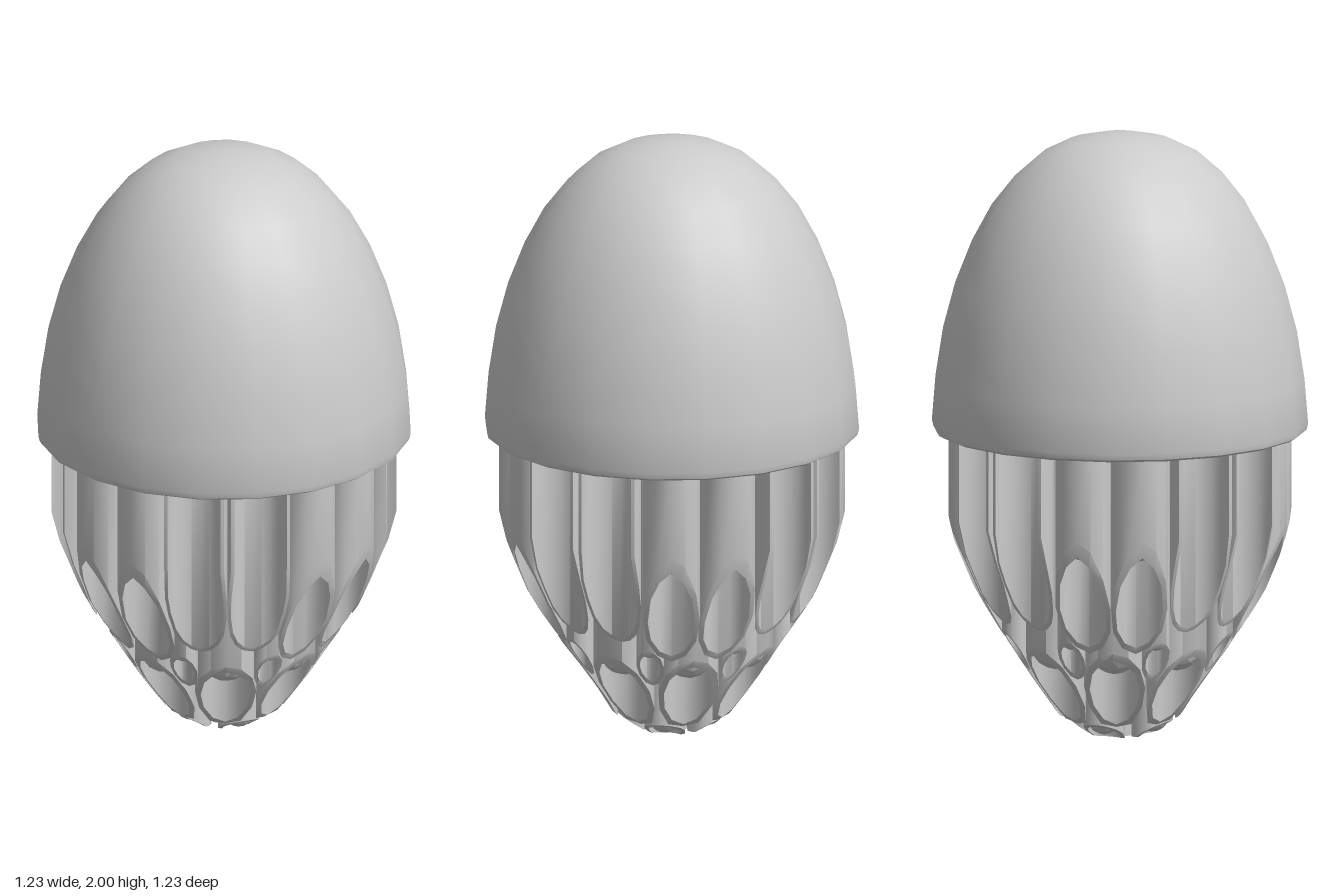
import * as THREE from 'three';
import { toCreasedNormals } from 'three/addons/utils/BufferGeometryUtils.js';

const TOP = 1.03;      // tubes run up into the dome floor
const LIMIT = 0.565;   // largest radius of the tube bundle

// Egg outline that trims the tubes: [radius, height]
const EGG = [[0, 0], [0.1, 0.005], [0.2, 0.07], [0.28, 0.18], [0.37, 0.32],
  [0.47, 0.47], [0.54, 0.64], [LIMIT, 0.74]];

function eggHeight(r) {
  for (let i = 1; i < EGG.length; i++) {
    const [r0, y0] = EGG[i - 1], [r1, y1] = EGG[i];
    if (r <= r1) return y0 + (y1 - y0) * (r - r0) / (r1 - r0);
  }
  return EGG[EGG.length - 1][1];
}

// Vertical tube whose lower end is trimmed by the egg; a tube that pokes out of
// the bundle becomes an open flute.
function tubeGeometry(dist, azimuth, outer, inner, segments) {
  const cx = dist * Math.sin(azimuth), cz = dist * Math.cos(azimuth);
  const reach = (rad) => {
    if (dist + rad <= LIMIT + 0.003) return Math.PI;
    return Math.acos((dist * dist + rad * rad - LIMIT * LIMIT) / (2 * dist * rad));
  };
  const spanIn = reach(inner), spanOut = reach(outer);
  const positions = [], index = [];
  const point = (rad, span, t) => {
    const a = azimuth + Math.PI + span * t;
    const x = cx + rad * Math.sin(a), z = cz + rad * Math.cos(a);
    return [x, eggHeight(Math.hypot(x, z)), z];
  };
  const quad = (a, b, c, d) => index.push(a, b, c, a, c, d);
  for (let i = 0; i <= segments; i++) {
    const t = -1 + 2 * i / segments;
    const p = point(inner, spanIn, t), q = point(outer, spanOut, t);
    positions.push(p[0], TOP, p[2], ...p, ...q, q[0], TOP, q[2]);
    if (i === segments) break;
    for (let k = 0; k < 3; k++) {
      const a = i * 4 + k;
      quad(a, a + 4, a + 5, a + 1);
    }
  }
  // Long edges of an open flute
  if (spanOut < Math.PI) {
    const e = segments * 4;
    quad(0, 1, 2, 3);
    quad(e + 3, e + 2, e + 1, e);
  }
  const geo = new THREE.BufferGeometry();
  geo.setAttribute('position', new THREE.Float32BufferAttribute(positions, 3));
  geo.setIndex(index);
  return toCreasedNormals(geo, 0.65);
}

export function createModel() {
  const group = new THREE.Group();
  const smooth = new THREE.MeshStandardMaterial({ color: 0xcccccc, side: THREE.DoubleSide });
  const faceted = new THREE.MeshStandardMaterial({ color: 0xcccccc, flatShading: true });

  const add = (parent, name, geometry, material) => {
    const mesh = new THREE.Mesh(geometry, material);
    mesh.name = name;
    parent.add(mesh);
    return mesh;
  };

  // Dome with a small rounded lip and a flat floor
  const profile = [[0, 1.02], [0.575, 1.02], [0.598, 1.012], [0.612, 1.02], [0.617, 1.04],
    [0.605, 1.19], [0.58, 1.35], [0.54, 1.5], [0.485, 1.64], [0.42, 1.76], [0.345, 1.855],
    [0.26, 1.93], [0.17, 1.975], [0.08, 1.995], [0, 2]]
    .map(([r, y]) => new THREE.Vector2(r, y));
  add(group, 'dome', toCreasedNormals(new THREE.LatheGeometry(profile, 20), 0.6), smooth);

  // Rings of tubes: distance from the axis, azimuths in degrees, radii, ball in the bore
  const every = (count, start) =>
    Array.from({ length: count }, (_, i) => start + i * 360 / count);
  const rings = [
    { name: 'outerTube', dist: 0.473, at: [...every(4, -11.25), ...every(4, 11.25)], outer: 0.093, inner: 0.078, ball: true },
    { name: 'flute', dist: 0.53, at: [...every(4, 33.75), ...every(4, 56.25)], outer: 0.103, inner: 0.092, ball: false },
    { name: 'middleTube', dist: 0.28, at: every(8, 0), outer: 0.1, inner: 0.082, ball: true },
    { name: 'fillerTube', dist: 0.36, at: every(8, 22.5), outer: 0.046, inner: 0.034, ball: true },
    { name: 'innerTube', dist: 0.118, at: every(4, -22.5), outer: 0.068, inner: 0.054, ball: true },
    { name: 'centreTube', dist: 0, at: [0], outer: 0.05, inner: 0.038, ball: true },
  ];

  for (const ring of rings) {
    const ringGroup = new THREE.Group();
    ringGroup.name = ring.name + 'Ring';
    group.add(ringGroup);
    for (const degrees of ring.at) {
      const a = THREE.MathUtils.degToRad(degrees);
      add(ringGroup, ring.name, tubeGeometry(ring.dist, a, ring.outer, ring.inner, 12), smooth);
      if (!ring.ball) continue;
      // Faceted ball closing the bore just above the trimmed opening
      const ball = add(ringGroup, 'ball', new THREE.IcosahedronGeometry(ring.inner * 1.02, 2), faceted);
      const y = Math.max(eggHeight(ring.dist + ring.outer), ring.inner + 0.02);
      ball.position.set(ring.dist * Math.sin(a), y, ring.dist * Math.cos(a));
    }
  }
  return group;
}
